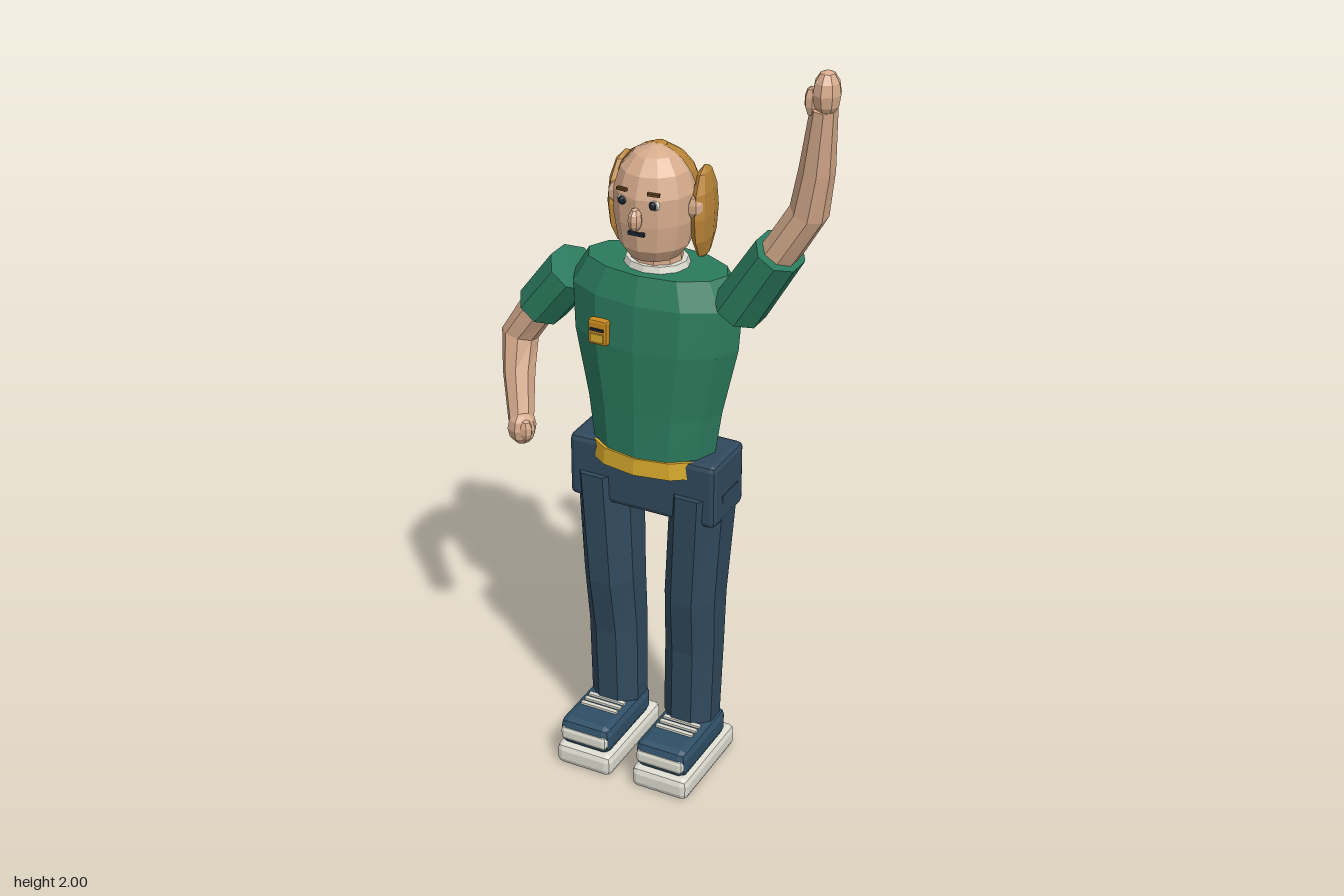
import * as THREE from 'three';
import { RoundedBoxGeometry } from 'three/addons/geometries/RoundedBoxGeometry.js';

const paint = (name, color) => new THREE.MeshStandardMaterial({ name, color, flatShading: true });
const CX = -0.024; // body midline

// Skin a row of elliptical rings {p, u, v} and close both ends
function loft(rings, sides, phase = 0) {
  const pos = [], idx = [];
  for (const r of rings) {
    for (let j = 0; j < sides; j++) {
      const a = phase + (j / sides) * Math.PI * 2;
      const q = r.p.clone().addScaledVector(r.u, Math.cos(a)).addScaledVector(r.v, Math.sin(a));
      pos.push(q.x, q.y, q.z);
    }
  }
  const last = rings.length - 1, base = rings.length * sides;
  for (const r of [rings[0], rings[last]]) pos.push(r.p.x, r.p.y, r.p.z);
  for (let j = 0; j < sides; j++) {
    const k = (j + 1) % sides;
    for (let i = 0; i < last; i++) {
      const a = i * sides + j, b = i * sides + k;
      idx.push(a, b, b + sides, a, b + sides, a + sides);
    }
    idx.push(base, k, j, base + 1, last * sides + j, last * sides + k);
  }
  const g = new THREE.BufferGeometry();
  g.setAttribute('position', new THREE.Float32BufferAttribute(pos, 3));
  g.setIndex(idx);
  const flat = g.toNonIndexed();
  flat.computeVertexNormals();
  return flat;
}

// Level rings, bottom to top: [x, y, z, radiusX, radiusZ]
const stack = (rows, sides, phase) => loft(rows.map(([x, y, z, rx, rz]) => ({
  p: new THREE.Vector3(x, y, z), u: new THREE.Vector3(rx, 0, 0), v: new THREE.Vector3(0, 0, -rz),
})), sides, phase);

// Rings square to a path: [x, y, z, radius across, radius in depth]
function limb(rows, sides) {
  const pts = rows.map((r) => new THREE.Vector3(r[0], r[1], r[2]));
  return loft(rows.map((r, i) => {
    const d = pts[Math.min(i + 1, pts.length - 1)].clone().sub(pts[Math.max(i - 1, 0)]).normalize();
    const u = new THREE.Vector3().crossVectors(d, new THREE.Vector3(0, 0, 1)).normalize();
    const v = new THREE.Vector3().crossVectors(d, u);
    return { p: pts[i], u: u.multiplyScalar(r[3]), v: v.multiplyScalar(r[4]) };
  }), sides, Math.PI / sides);
}

export function createModel() {
  const skin = paint('skin', 0xd6ab8c);
  const shirt = paint('shirt green', 0x2b7a5e);
  const denim = paint('trouser blue', 0x30495c);
  const shoeBlue = paint('shoe blue', 0x2f4f66);
  const hairTone = paint('hair', 0xb98538);
  hairTone.side = THREE.DoubleSide;
  const gold = paint('gold', 0xd6a92c);
  const orange = paint('badge orange', 0xc88a1e);
  const white = paint('off white', 0xdcdbd0);
  const dark = paint('dark', 0x1d2530);
  const brown = paint('brow brown', 0x5e3f1c);

  const model = new THREE.Group();
  model.name = 'wavingPerson';
  const add = (name, geo, mat, x = 0, y = 0, z = 0, parent = model) => {
    const m = new THREE.Mesh(geo, mat);
    m.name = name;
    m.position.set(x, y, z);
    parent.add(m);
    return m;
  };
  const ball = (name, mat, p, s, w = 8, h = 6) => {
    const m = add(name, new THREE.SphereGeometry(1, w, h), mat, ...p);
    m.scale.set(...s);
    return m;
  };
  const block = (w, h, d, r) => new RoundedBoxGeometry(w, h, d, 1, r);

  // Torso, hips and belt
  add('torso', stack([
    [CX, 0.93, -0.037, 0.165, 0.116],
    [CX, 1.05, -0.04, 0.182, 0.12],
    [CX, 1.23, -0.043, 0.222, 0.129],
    [CX, 1.35, -0.045, 0.23, 0.122],
    [CX, 1.42, -0.047, 0.188, 0.1],
  ], 12), shirt);
  add('hips', block(0.41, 0.175, 0.17, 0.015), denim, CX, 0.85, -0.04);
  add('belt', stack([[CX, 0.89, -0.038, 0.185, 0.124], [CX, 0.936, -0.038, 0.18, 0.122]], 12), gold);

  // Chest badge
  add('badge', block(0.052, 0.066, 0.024, 0.006), orange, -0.119, 1.263, 0.077);
  add('badgePlate', new THREE.BoxGeometry(0.034, 0.022, 0.006), gold, -0.119, 1.25, 0.09);
  add('badgeStrip', new THREE.BoxGeometry(0.036, 0.007, 0.006), dark, -0.119, 1.272, 0.09);

  // Legs and shoes
  for (const s of [1, -1]) {
    const side = s > 0 ? 'left' : 'right';
    add(side + 'Leg', stack([
      [CX + s * 0.108, 0.14, -0.036, 0.074, 0.072],
      [CX + s * 0.112, 0.36, -0.04, 0.076, 0.079],
      [CX + s * 0.117, 0.52, -0.033, 0.077, 0.093],
      [CX + s * 0.133, 0.84, -0.044, 0.08, 0.112],
    ], 8, Math.PI / 8), denim);

    const shoe = new THREE.Group();
    shoe.name = side + 'Shoe';
    shoe.position.x = CX + s * 0.112;
    model.add(shoe);
    add('sole', block(0.163, 0.062, 0.3, 0.018), white, 0, 0.031, 0.02, shoe);
    add('upper', block(0.148, 0.078, 0.252, 0.022), shoeBlue, 0, 0.102, 0.037, shoe);
    add('toeBand', block(0.136, 0.042, 0.03, 0.012), white, 0, 0.1, 0.153, shoe);
    for (let i = 0; i < 3; i++) {
      add('lace', new THREE.BoxGeometry(0.106, 0.008, 0.012), white, 0, 0.143, 0.074 - i * 0.022, shoe);
    }
  }

  // Raised left arm
  add('leftSleeve', limb([[0.2, 1.35, -0.042, 0.067, 0.088], [0.302, 1.516, -0.042, 0.062, 0.088]], 8), shirt);
  add('leftArm', limb([
    [0.25, 1.44, -0.042, 0.046, 0.06],
    [0.315, 1.535, -0.042, 0.047, 0.06],
    [0.375, 1.635, -0.035, 0.047, 0.053],
    [0.398, 1.75, -0.018, 0.042, 0.045],
    [0.42, 1.91, 0.006, 0.031, 0.034],
  ], 8), skin);
  ball('leftHand', skin, [0.427, 1.945, 0.01], [0.034, 0.055, 0.036]);
  ball('leftThumb', skin, [0.395, 1.925, 0.022], [0.017, 0.036, 0.017], 6, 5);

  // Lowered right arm
  add('rightSleeve', limb([[-0.25, 1.357, -0.042, 0.067, 0.088], [-0.342, 1.24, -0.042, 0.064, 0.088]], 8), shirt);
  add('rightArm', limb([
    [-0.3, 1.3, -0.042, 0.046, 0.06],
    [-0.365, 1.215, -0.045, 0.047, 0.058],
    [-0.413, 1.14, -0.042, 0.047, 0.053],
    [-0.4, 1.05, -0.008, 0.041, 0.045],
    [-0.372, 0.935, 0.036, 0.033, 0.034],
  ], 8), skin);
  ball('rightHand', skin, [-0.366, 0.922, 0.043], [0.038, 0.047, 0.038]);
  ball('rightThumb', skin, [-0.343, 0.925, 0.062], [0.017, 0.03, 0.018], 6, 5);

  // Neck and head
  add('collar', stack([[CX, 1.415, -0.045, 0.085, 0.076], [CX, 1.436, -0.045, 0.078, 0.07]], 12), white);
  add('neck', stack([[CX, 1.41, -0.045, 0.066, 0.062], [CX, 1.52, -0.045, 0.062, 0.06]], 10), skin);
  add('head', stack([
    [CX, 1.452, -0.034, 0.064, 0.068],
    [CX, 1.485, -0.036, 0.088, 0.092],
    [CX, 1.55, -0.038, 0.1, 0.102],
    [CX, 1.62, -0.04, 0.101, 0.105],
    [CX, 1.672, -0.04, 0.085, 0.088],
    [CX, 1.708, -0.04, 0.054, 0.055],
    [CX, 1.725, -0.04, 0.012, 0.012],
  ], 12), skin);

  // Face
  ball('nose', skin, [CX, 1.572, 0.068], [0.017, 0.03, 0.022]);
  add('mouth', new THREE.BoxGeometry(0.042, 0.009, 0.009), dark, CX, 1.534, 0.062);
  for (const s of [1, -1]) {
    const side = s > 0 ? 'left' : 'right';
    ball(side + 'Eye', white, [CX + s * 0.042, 1.61, 0.05], [0.015, 0.013, 0.011]);
    ball(side + 'Pupil', dark, [CX + s * 0.041, 1.61, 0.056], [0.011, 0.011, 0.008]);
    const brow = add(side + 'Brow', new THREE.BoxGeometry(0.03, 0.007, 0.009), brown, CX + s * 0.042, 1.638, 0.055);
    brow.rotation.set(0, s * 0.3, s * -0.08);
    ball(side + 'Ear', skin, [CX + s * 0.107, 1.585, -0.035], [0.02, 0.032, 0.022], 6, 5);
    // Side tufts
    const tuft = ball(side + 'HairTuft', hairTone, [CX + s * 0.106, 1.557, -0.085], [0.026, 0.12, 0.072]);
    tuft.rotation.y = s * 0.12;
  }

  // Hair wrapped round the back, leaving the forehead bare
  const hair = add('backHair', new THREE.SphereGeometry(1, 8, 6, Math.PI, Math.PI, 0, Math.PI * 0.62),
    hairTone, CX, 1.592, -0.042);
  hair.scale.set(0.112, 0.134, 0.113);
  ball('crownTuft', hairTone, [CX, 1.716, -0.056], [0.024, 0.012, 0.024]);

  return model;
}
